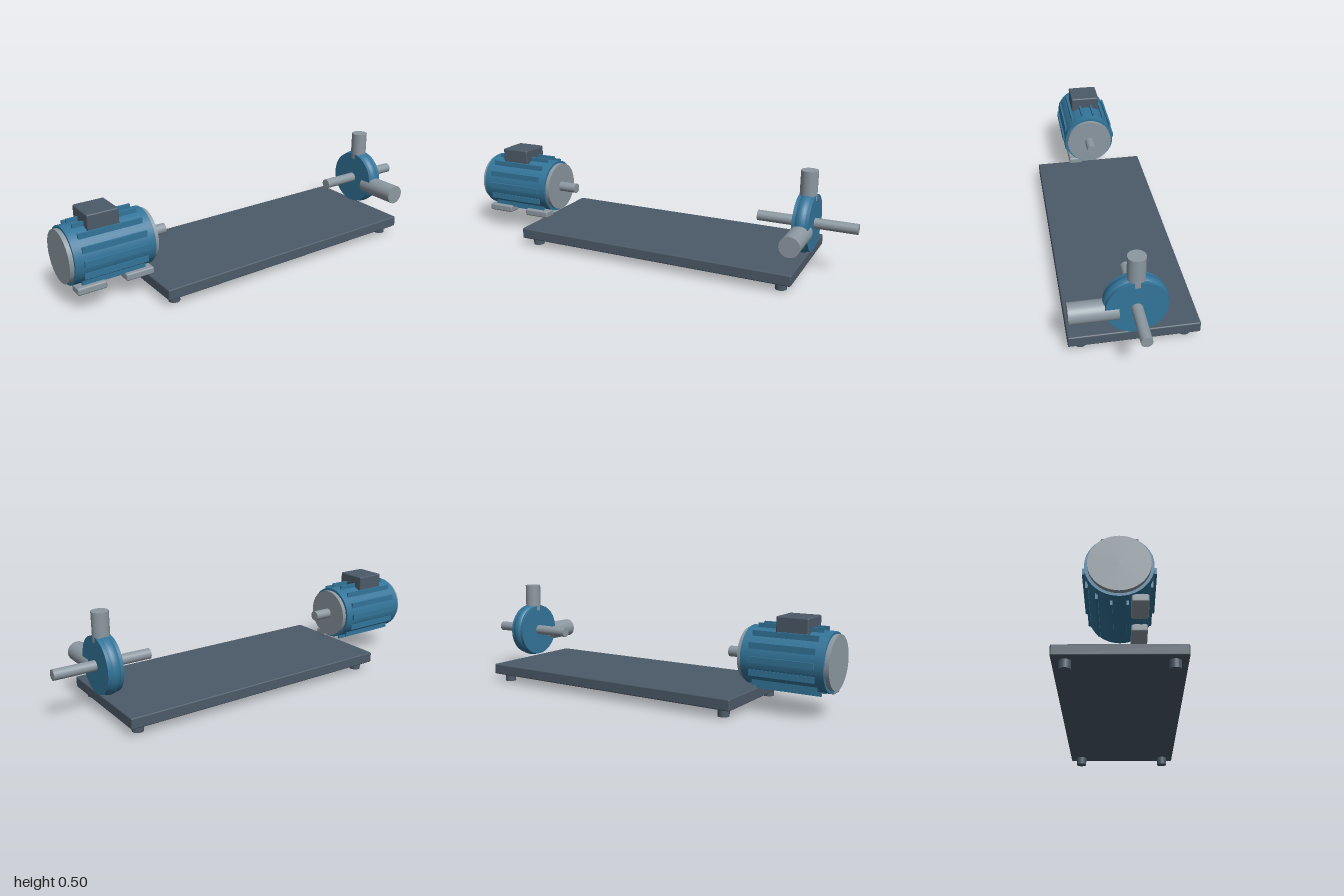
import * as THREE from 'three';
import { RoundedBoxGeometry } from 'three/addons/geometries/RoundedBoxGeometry.js';

const AXIS_Y = 0.247; // height of the shaft line

export function createModel() {
  const material = (name, color) => new THREE.MeshStandardMaterial({ name, color });
  const blue = material('bluePaint', 0x33759a);
  const slate = material('slatePaint', 0x4c5a68);
  const steel = material('steel', 0x8c98a1);

  const root = new THREE.Group();
  root.name = 'motorAndPump';
  const group = (name) => {
    const g = new THREE.Group();
    g.name = name;
    root.add(g);
    return g;
  };
  const add = (parent, name, geometry, mat, x, y, z) => {
    const mesh = new THREE.Mesh(geometry, mat);
    mesh.name = name;
    mesh.position.set(x, y, z);
    parent.add(mesh);
    return mesh;
  };
  const box = (parent, name, mat, [w, h, d], [x, y, z], r = 0.006) =>
    add(parent, name, new RoundedBoxGeometry(w, h, d, 2, r), mat, x, y, z);
  // Cylinder lying along x from x0 to x1
  const rod = (parent, name, mat, r, x0, x1) => {
    const g = new THREE.CylinderGeometry(r, r, x1 - x0, 48).rotateZ(-Math.PI / 2);
    return add(parent, name, g, mat, (x0 + x1) / 2, AXIS_Y, 0);
  };

  // Base plate on four round feet
  const base = group('base');
  box(base, 'basePlate', slate, [1.41, 0.053, 0.586], [0.075, 0.0665, 0]);
  for (const x of [-0.572, 0.722])
    for (const z of [-0.233, 0.233])
      add(base, 'baseFoot', new THREE.CylinderGeometry(0.027, 0.027, 0.042, 24), slate, x, 0.021, z);

  // Motor body, end caps and shaft
  const motor = group('motor');
  rod(motor, 'motorBody', blue, 0.135, -0.98, -0.596);
  rod(motor, 'rearCap', steel, 0.123, -1.0, -0.98);
  rod(motor, 'frontCap', steel, 0.123, -0.596, -0.575);
  rod(motor, 'motorShaft', steel, 0.025, -0.575, -0.48);

  // Upright cooling ribs placed around the body
  const ribs = 14;
  for (let i = 0; i < ribs; i++) {
    const a = (i / ribs) * Math.PI * 2;
    add(motor, 'coolingRib', new THREE.BoxGeometry(0.305, 0.028, 0.01), blue,
      -0.7875, AXIS_Y + 0.14 * Math.sin(a), 0.14 * Math.cos(a));
  }

  // Terminal box and mounting feet
  box(motor, 'terminalBox', slate, [0.15, 0.078, 0.154], [-0.8125, 0.4, 0], 0.007);
  for (const x of [-0.902, -0.67])
    box(motor, 'motorFoot', steel, [0.138, 0.035, 0.069], [x, 0.1105, 0.0795], 0.008);

  // Pump casing: flat disc with a rounded rim
  const pump = group('pump');
  const px = 0.763;
  rod(pump, 'pumpCasing', blue, 0.135, px - 0.0382, px + 0.0382);
  const rim = new THREE.TorusGeometry(0.1055, 0.0375, 20, 64).rotateY(Math.PI / 2);
  add(pump, 'casingRim', rim, blue, px, AXIS_Y, 0);
  rod(pump, 'pumpShaft', steel, 0.025, 0.53, 1.0);

  // Upright outlet and forward inlet
  add(pump, 'outletPipe', new THREE.CylinderGeometry(0.04, 0.04, 0.14, 40), steel, px, 0.425, 0);
  const inlet = new THREE.CylinderGeometry(0.048, 0.048, 0.215, 40).rotateX(Math.PI / 2);
  add(pump, 'inletPipe', inlet, steel, px, 0.222, 0.1825);

  return root;
}
